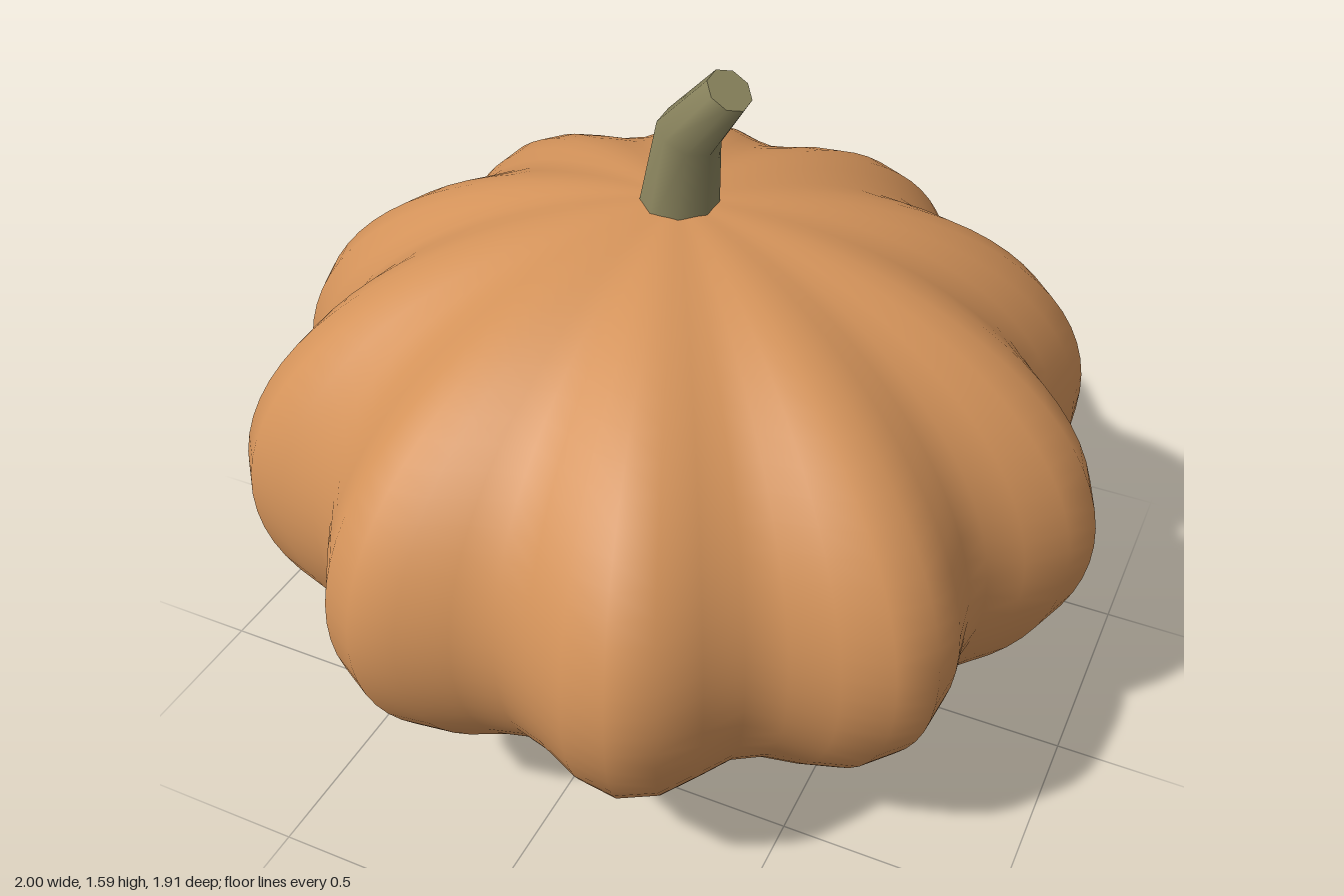
import * as THREE from 'three';
import { mergeVertices, toCreasedNormals } from 'three/addons/utils/BufferGeometryUtils.js';

const HALF_HEIGHT = 0.628;
const RIBS = 10;

// Flattened sphere whose radius swells and narrows around the vertical axis
function ribbedShell() {
  let geo = new THREE.SphereGeometry(1, 64, 40);
  const p = geo.attributes.position;
  for (let i = 0; i < p.count; i++) {
    const x = p.getX(i), z = p.getZ(i);
    const rib = 0.935 + 0.065 * Math.cos(RIBS * Math.atan2(z, x));
    p.setXYZ(i, x * rib, (p.getY(i) + 1) * HALF_HEIGHT, z * rib);
  }
  // Weld the seam so the shading stays smooth all round
  geo.deleteAttribute('uv');
  geo.deleteAttribute('normal');
  geo = mergeVertices(geo, 1e-5);
  geo.computeVertexNormals();
  return geo;
}

// Eight-sided tapering stalk, each ring tilted to follow the bend
function bentStem() {
  const rings = [
    { at: new THREE.Vector3(0, 1.2, 0), r: 0.092, axis: new THREE.Vector3(0, 1, 0) },
    { at: new THREE.Vector3(0.033, 1.428, 0.012), r: 0.072, axis: new THREE.Vector3(0.4, 0.9, 0.12) },
    { at: new THREE.Vector3(0.14, 1.562, 0.05), r: 0.052, axis: new THREE.Vector3(0.57, 0.8, 0.2) },
  ];
  const up = new THREE.Vector3(0, 1, 0);
  const turns = rings.map((k) => new THREE.Quaternion().setFromUnitVectors(up, k.axis.normalize()));
  const geo = new THREE.CylinderGeometry(1, 1, 2, 8, 2);
  geo.rotateY(Math.PI / 8);
  const p = geo.attributes.position;
  const v = new THREE.Vector3();
  for (let i = 0; i < p.count; i++) {
    const n = Math.round(p.getY(i)) + 1;
    v.set(p.getX(i), 0, p.getZ(i)).multiplyScalar(rings[n].r).applyQuaternion(turns[n]).add(rings[n].at);
    p.setXYZ(i, v.x, v.y, v.z);
  }
  return toCreasedNormals(geo, 1.0);
}

export function createModel() {
  const orange = new THREE.MeshStandardMaterial({ color: 0xd4935a });
  orange.name = 'orange skin';
  const olive = new THREE.MeshStandardMaterial({ color: 0x8c865f });
  olive.name = 'olive stalk';

  const group = new THREE.Group();
  group.name = 'pumpkin';
  const shell = new THREE.Mesh(ribbedShell(), orange);
  shell.name = 'ribbedShell';
  const stem = new THREE.Mesh(bentStem(), olive);
  stem.name = 'stem';
  group.add(shell, stem);
  return group;
}
